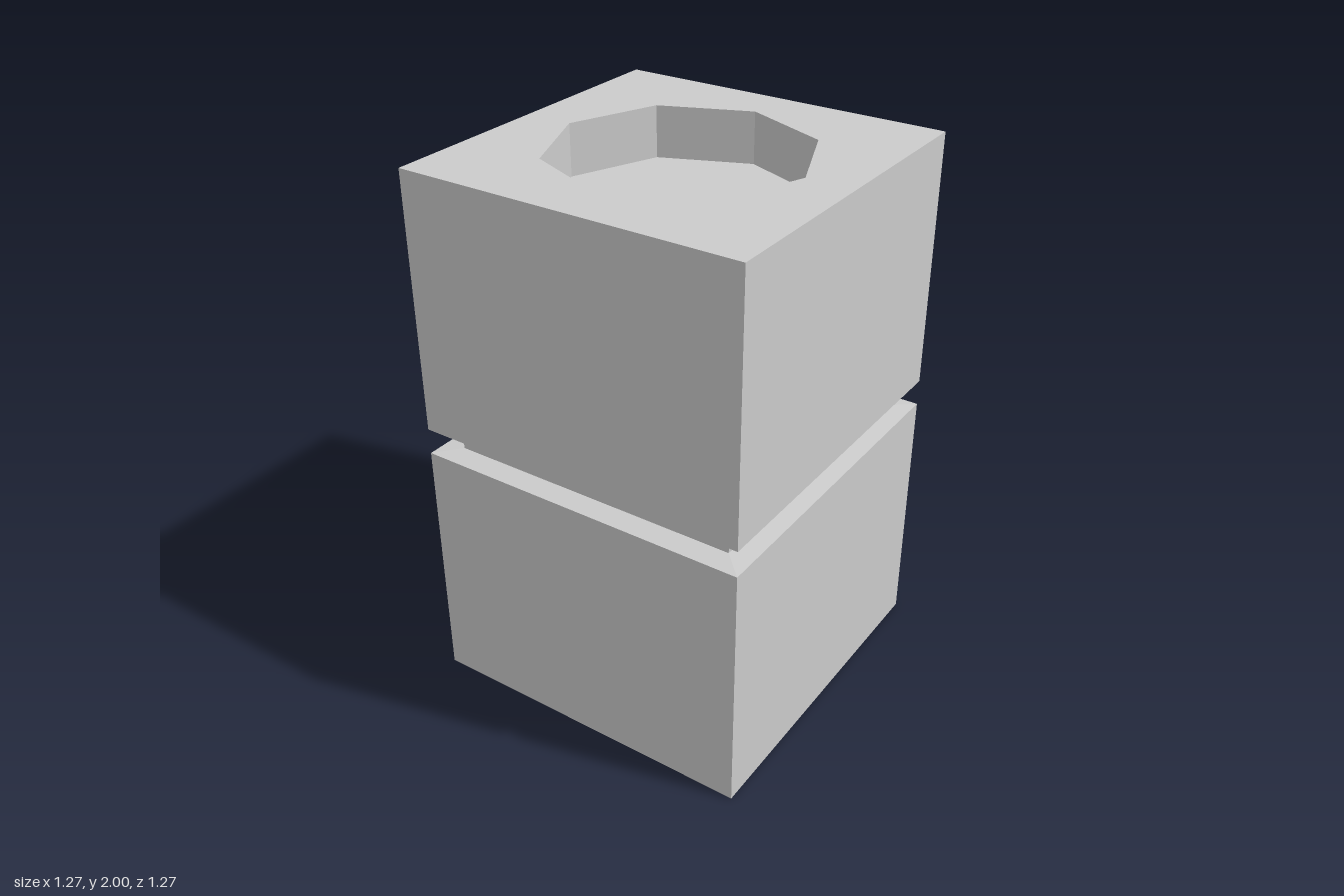
import * as THREE from 'three';

const HALF = 0.633;   // half width of the blocks
const NECK = 0.55;    // half width of the neck
const HOLE = 0.457;   // corner radius of the recess
const DEPTH = 0.19;   // depth of the recess
const TOP = 2;

const material = new THREE.MeshStandardMaterial({ color: 0xcccccc, flatShading: true });

function addPart(group, name, geometry) {
  const flat = geometry.toNonIndexed();
  flat.computeVertexNormals();
  const mesh = new THREE.Mesh(flat, material);
  mesh.name = name;
  group.add(mesh);
  return mesh;
}

// Faceted turned shape from [radius, y] pairs
function turned(profile, sides, start = 0) {
  const points = profile.map(([r, y]) => new THREE.Vector2(r, y));
  return new THREE.LatheGeometry(points, sides, start);
}

// Square section from [halfWidth, y] pairs
const square = (profile) =>
  turned(profile.map(([h, y]) => [h * Math.SQRT2, y]), 4, Math.PI / 4);

export function createModel() {
  const group = new THREE.Group();
  group.name = 'groovedBlock';

  // Lower block, its top rising slightly towards the neck
  addPart(group, 'lowerBlock', square([[0, 0], [HALF, 0], [HALF, 0.95], [NECK, 0.957]]));

  // Narrow neck between the blocks
  addPart(group, 'neck', square([[NECK, 0.957], [NECK, 1.04]]));

  // Upper block, its underside falling slightly towards the neck
  addPart(group, 'upperBlock', square([[NECK, 1.04], [HALF, 1.047], [HALF, TOP]]));

  // Top face with an eight-sided opening
  const face = new THREE.Shape([[-1, -1], [1, -1], [1, 1], [-1, 1]]
    .map(([x, y]) => new THREE.Vector2(x * HALF, y * HALF)));
  const corners = Array.from({ length: 8 }, (_, i) => {
    const a = -i * Math.PI / 4;
    return new THREE.Vector2(HOLE * Math.cos(a), HOLE * Math.sin(a));
  });
  face.holes.push(new THREE.Path(corners));
  const topFace = new THREE.ShapeGeometry(face).rotateX(-Math.PI / 2).translate(0, TOP, 0);
  addPart(group, 'topFace', topFace);

  // Recess walls and floor
  addPart(group, 'recess', turned([[HOLE, TOP], [HOLE, TOP - DEPTH], [0, TOP - DEPTH]], 8));

  return group;
}
